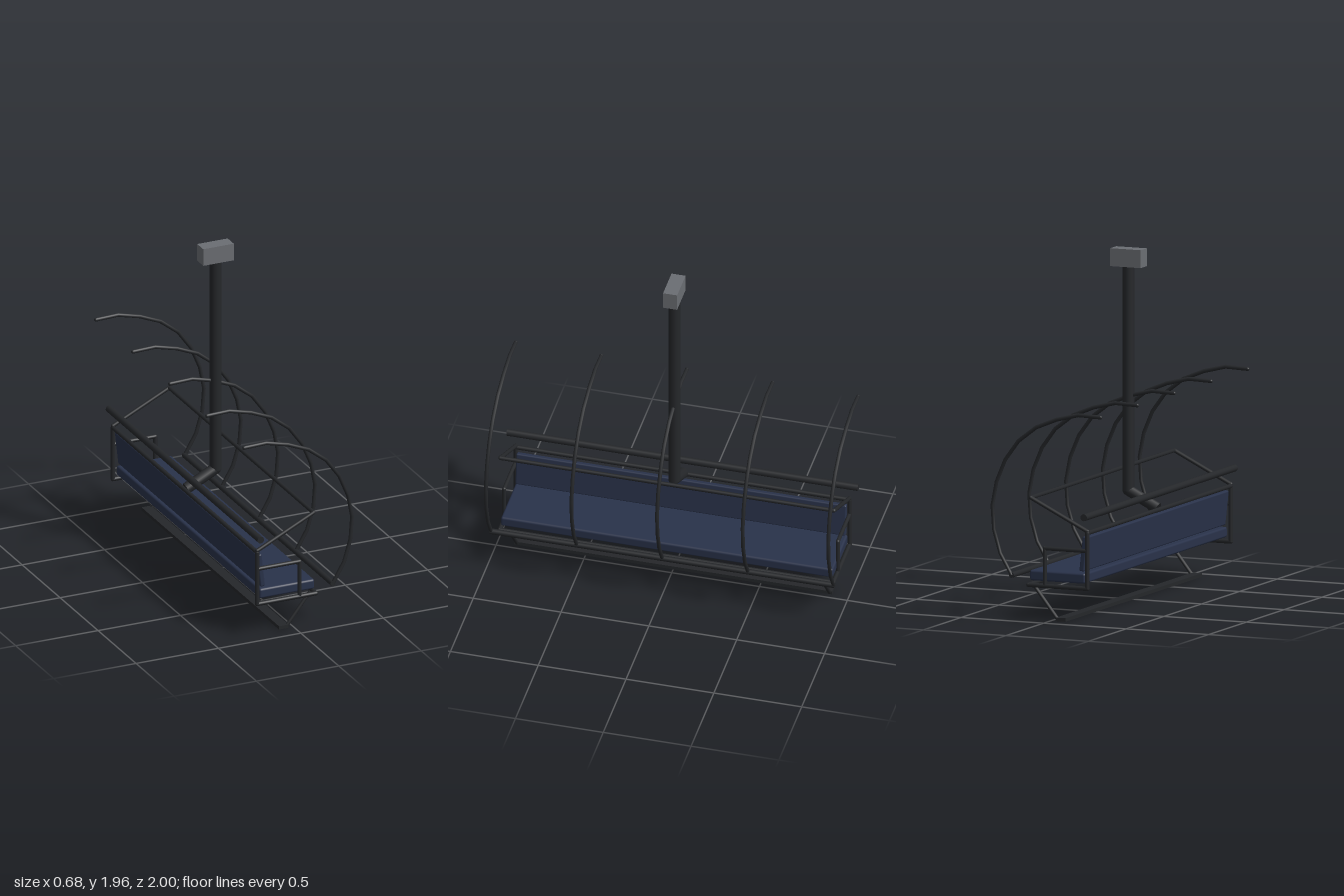
import * as THREE from 'three';
import { RoundedBoxGeometry } from 'three/addons/geometries/RoundedBoxGeometry.js';

export function createModel() {
  const model = new THREE.Group();
  model.name = 'chairlift';
  const steel = new THREE.MeshStandardMaterial({ color: 0x25272a });
  const padding = new THREE.MeshStandardMaterial({ color: 0x29324a });
  const gripGrey = new THREE.MeshStandardMaterial({ color: 0x6b6e73 });

  const V = (x, y, z) => new THREE.Vector3(x, y, z);
  const up = V(0, 1, 0);

  function add(name, geometry, material, parent = model) {
    const mesh = new THREE.Mesh(geometry, material);
    mesh.name = name;
    parent.add(mesh);
    return mesh;
  }

  // Straight round bar between two points
  function bar(name, a, b, r, parent = model, sides = 10) {
    const dir = b.clone().sub(a);
    const mesh = add(name, new THREE.CylinderGeometry(r, r, dir.length(), sides), steel, parent);
    mesh.position.copy(a).add(b).multiplyScalar(0.5);
    mesh.quaternion.setFromUnitVectors(up, dir.normalize());
    return mesh;
  }

  // Chain of bars with rounded joints
  function pipe(name, points, r) {
    const group = new THREE.Group();
    group.name = name;
    model.add(group);
    points.forEach((p, i) => {
      if (i) bar(name + 'Bar', points[i - 1], p, r, group);
      add(name + 'Joint', new THREE.SphereGeometry(r, 10, 8), steel, group).position.copy(p);
    });
  }

  // Cable grip, hanger mast and the arm reaching back to the frame
  add('cableGrip', new THREE.BoxGeometry(0.185, 0.1, 0.08), gripGrey).position.set(-0.057, 1.91, 0);
  bar('hangerMast', V(-0.057, 0.61, 0), V(-0.057, 1.88, 0), 0.034, model, 12);
  add('hangerElbow', new THREE.SphereGeometry(0.034, 12, 8), steel).position.set(-0.057, 0.615, 0);
  bar('hangerArm', V(-0.057, 0.612, 0), V(-0.235, 0.522, 0), 0.032, model, 12);

  // Seat and backrest cushions
  add('seat', new RoundedBoxGeometry(0.335, 0.058, 1.89, 2, 0.012), padding).position.set(-0.057, 0.258, 0);
  const back = add('backrest', new RoundedBoxGeometry(0.03, 0.195, 1.88, 2, 0.008), padding);
  back.position.set(-0.212, 0.395, 0);
  back.rotation.z = 0.11;

  // Main frame: front rail, side rails, rear posts and top rail
  const w = 0.95;
  pipe('seatFrame', [
    V(-0.242, 0.515, w), V(-0.242, 0.205, w), V(0.115, 0.205, w),
    V(0.115, 0.205, -w), V(-0.242, 0.205, -w), V(-0.242, 0.515, -w), V(-0.242, 0.515, w),
  ], 0.0125);

  // Lap bar resting above the seat
  pipe('lapBar', [V(-0.242, 0.525, w), V(0.1, 0.692, w), V(0.1, 0.692, -w), V(-0.242, 0.525, -w)], 0.0115);

  for (const s of [1, -1]) {
    pipe('armrest', [V(-0.242, 0.415, s * w), V(0.015, 0.415, s * w), V(0.015, 0.205, s * w)], 0.0115);
    bar('footrestStrut', V(0.112, 0.2, s * 0.89), V(-0.035, 0.015, s * 0.89), 0.0105);
  }
  add('footrest', new THREE.BoxGeometry(0.058, 0.02, 1.81), steel).position.set(-0.06, 0.015, 0);

  // Canopy pivot rod and lower canopy rail
  bar('canopyPivot', V(-0.243, 0.608, -1), V(-0.243, 0.608, 1), 0.02, model, 12);
  bar('canopyRail', V(0.205, 0.257, -0.98), V(0.205, 0.257, 0.98), 0.016);

  // Curved canopy hoops
  const arc = [
    [-0.335, 1.169], [-0.204, 1.174], [-0.075, 1.143], [0.054, 1.091], [0.163, 1.008], [0.243, 0.899],
    [0.296, 0.774], [0.322, 0.639], [0.312, 0.504], [0.271, 0.369], [0.205, 0.257],
  ];
  const r = 0.011;
  const hoopCurve = new THREE.CurvePath();
  for (let i = 1; i < arc.length; i++) {
    hoopCurve.add(new THREE.LineCurve3(V(...arc[i - 1], 0), V(...arc[i], 0)));
  }
  const smooth = new THREE.CatmullRomCurve3(arc.map(([x, y]) => V(x, y, 0)));
  const hoop = new THREE.TubeGeometry(smooth, 10, r, 8);
  for (let i = -2; i <= 2; i++) {
    const z = i * 0.4875;
    add('canopyHoop', hoop, steel).position.z = z;
    // End cap
    add('canopyHoopTip', new THREE.SphereGeometry(r, 8, 6), steel).position.set(arc[0][0] + 0.002, arc[0][1], z);
  }
  return model;
}
